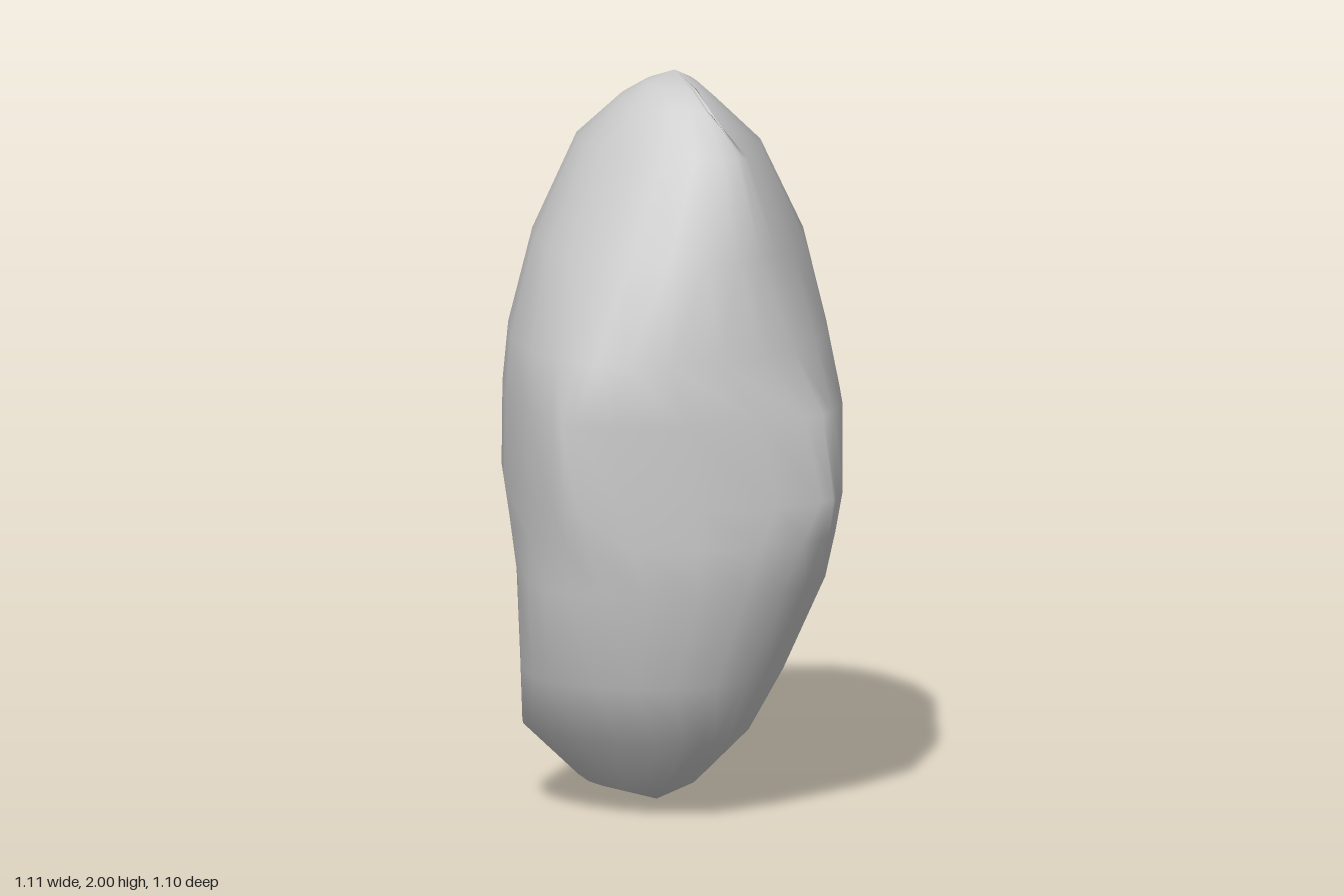
import * as THREE from 'three';

// Each level: height, then the extent of the section in eight directions,
// turning from +x through the back (-z), -x and the front (+z).
const LEVELS = [
  [0.07, 0.13, 0.26, 0.29, 0.245, 0.25, 0.21, 0.13, 0.07],
  [0.22, 0.235, 0.36, 0.385, 0.40, 0.37, 0.36, 0.295, 0.20],
  [0.39, 0.32, 0.42, 0.395, 0.42, 0.47, 0.44, 0.385, 0.29],
  [0.65, 0.35, 0.42, 0.39, 0.435, 0.50, 0.50, 0.49, 0.395],
  [0.78, 0.375, 0.44, 0.465, 0.445, 0.525, 0.505, 0.525, 0.42],
  [0.89, 0.43, 0.50, 0.54, 0.455, 0.54, 0.505, 0.553, 0.44],
  [1.12, 0.555, 0.605, 0.55, 0.457, 0.555, 0.505, 0.525, 0.46],
  [1.29, 0.53, 0.575, 0.51, 0.44, 0.515, 0.49, 0.445, 0.435],
  [1.55, 0.485, 0.525, 0.43, 0.37, 0.39, 0.42, 0.41, 0.37],
  [1.82, 0.265, 0.31, 0.28, 0.25, 0.265, 0.335, 0.335, 0.235],
  [1.93, 0.155, 0.16, 0.145, 0.14, 0.175, 0.235, 0.215, 0.12],
  [1.975, 0.09, 0.09, 0.07, 0.07, 0.095, 0.14, 0.13, 0.07],
];
const SEGMENTS = 24;

// Smooth closed outline that touches the eight extents
function sectionPoint(extents, angle) {
  let h = 0, slope = 0;
  for (let k = 0; k <= 4; k++) {
    let a = 0, b = 0;
    extents.forEach((e, i) => {
      a += e * Math.cos(k * i * Math.PI / 4) / (k % 4 ? 4 : 8);
      b += e * Math.sin(k * i * Math.PI / 4) / 4;
    });
    const c = Math.cos(k * angle), s = Math.sin(k * angle);
    h += a * c + b * s;
    slope += k * (b * c - a * s);
  }
  const c = Math.cos(angle), s = Math.sin(angle);
  return [h * c - slope * s, -(h * s + slope * c)];
}

function buildBody() {
  const positions = [], index = [];
  for (const [y, ...extents] of LEVELS) {
    for (let j = 0; j < SEGMENTS; j++) {
      const [x, z] = sectionPoint(extents, j / SEGMENTS * Math.PI * 2);
      positions.push(x, y, z);
    }
  }
  const bottom = LEVELS.length * SEGMENTS, top = bottom + 1;
  positions.push(-0.02, 0, -0.03, 0.02, 2, 0);

  // Skin between sections, closed by a fan at each end
  const last = (LEVELS.length - 1) * SEGMENTS;
  for (let j = 0; j < SEGMENTS; j++) {
    const n = (j + 1) % SEGMENTS;
    for (let r = 0; r < last; r += SEGMENTS) {
      index.push(r + j, r + n, r + SEGMENTS + j);
      index.push(r + n, r + SEGMENTS + n, r + SEGMENTS + j);
    }
    index.push(bottom, n, j, top, last + j, last + n);
  }
  const geometry = new THREE.BufferGeometry();
  geometry.setAttribute('position', new THREE.Float32BufferAttribute(positions, 3));
  geometry.setIndex(index);
  geometry.computeVertexNormals();
  return geometry;
}

export function createModel() {
  const group = new THREE.Group();
  const stone = new THREE.Mesh(buildBody(), new THREE.MeshStandardMaterial({ color: 0xcccccc }));
  stone.name = 'stone';
  group.add(stone);
  return group;
}
